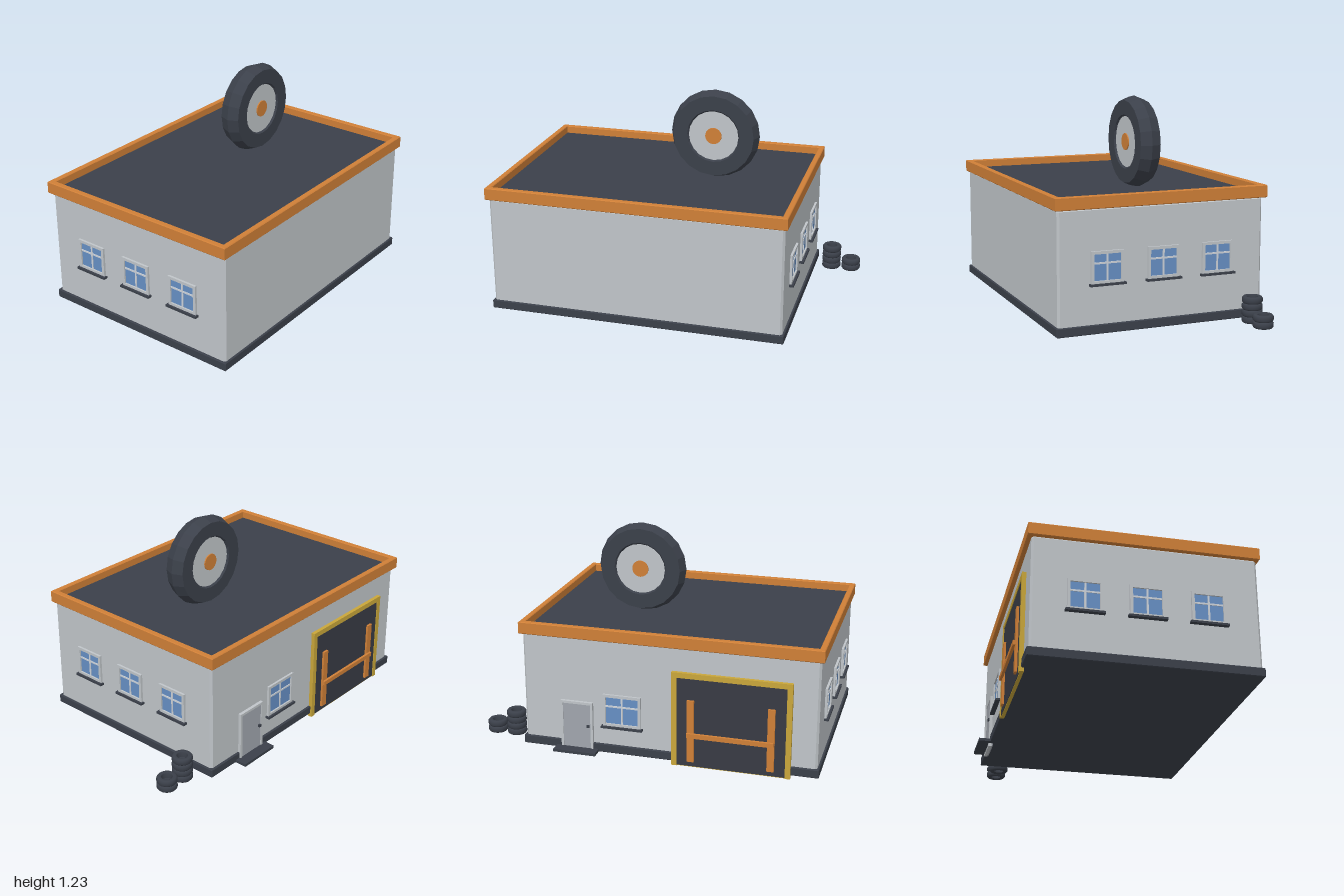
import * as THREE from 'three';
import { ConvexGeometry } from 'three/addons/geometries/ConvexGeometry.js';

const mat = (name, color, extra = {}) => {
  const m = new THREE.MeshStandardMaterial({ color, ...extra });
  m.name = name;
  return m;
};

export function createModel() {
  const M = {
    wall: mat('wallGrey', 0xc0c5c9),
    dark: mat('rubberDark', 0x3b404a),
    orange: mat('orange', 0xcf7f37),
    yellow: mat('yellow', 0xc9a63a),
    glass: mat('glassBlue', 0x668fc4),
    mullion: mat('mullionGrey', 0xcdd3da),
    door: mat('doorGrey', 0xa0a5ad),
    shutter: mat('shutterDark', 0x383b44),
  };
  const root = new THREE.Group();
  root.name = 'tyreWorkshop';

  const add = (parent, name, geo, m) => {
    const mesh = new THREE.Mesh(geo, m);
    mesh.name = name;
    parent.add(mesh);
    return mesh;
  };
  // box given by its limits on each axis
  const box = (parent, name, m, x0, x1, y0, y1, z0, z1) => {
    const mesh = add(parent, name, new THREE.BoxGeometry(x1 - x0, y1 - y0, z1 - z0), m);
    mesh.position.set((x0 + x1) / 2, (y0 + y1) / 2, (z0 + z1) / 2);
    return mesh;
  };
  // the same with chamfered edges of width c
  const chamferBox = (parent, name, m, x0, x1, y0, y1, z0, z1, c) => {
    const h = [(x1 - x0) / 2, (y1 - y0) / 2, (z1 - z0) / 2];
    const pts = [];
    for (const sx of [-1, 1]) for (const sy of [-1, 1]) for (const sz of [-1, 1]) {
      for (let full = 0; full < 3; full++) {
        const p = [sx, sy, sz].map((s, i) => s * (h[i] - (i === full ? 0 : c)));
        pts.push(new THREE.Vector3(...p));
      }
    }
    const mesh = add(parent, name, new ConvexGeometry(pts), m);
    mesh.position.set((x0 + x1) / 2, (y0 + y1) / 2, (z0 + z1) / 2);
    return mesh;
  };
  // rectangular ring in the xy plane, extruded along z
  const ring = (w, h, t, depth, bevel = 0) => {
    const rect = (S, a, b) => new S([
      new THREE.Vector2(-a, -b), new THREE.Vector2(a, -b),
      new THREE.Vector2(a, b), new THREE.Vector2(-a, b)]);
    const s = rect(THREE.Shape, w / 2 - bevel, h / 2 - bevel);
    s.holes.push(rect(THREE.Path, w / 2 - t + bevel, h / 2 - t + bevel));
    const g = new THREE.ExtrudeGeometry(s, {
      depth: depth - 2 * bevel, bevelEnabled: bevel > 0,
      bevelSize: bevel, bevelThickness: bevel, bevelSegments: 1 });
    return g.translate(0, 0, bevel);
  };

  // building shell
  const X0 = -0.973, X1 = 0.711, Z0 = -0.571, Z1 = 0.631;
  chamferBox(root, 'walls', M.wall, X0, X1, 0.03, 0.695, Z0, Z1, 0.012);
  chamferBox(root, 'plinth', M.dark, X0 - 0.011, X1 + 0.011, 0.02, 0.07, Z0 - 0.012, Z1 + 0.01, 0.004);
  box(root, 'roof', M.dark, X0, X1, 0.692, 0.715, Z0, Z1);
  const rim = add(root, 'roofRim', ring(1.717, 1.24, 0.033, 0.07, 0.004), M.orange);
  rim.rotation.x = -Math.PI / 2;
  rim.position.set(-0.132, 0.69, 0.027);

  // window facing +z, its origin at the bottom middle of the frame
  const makeWindow = (name, w, h, x, y, z, turn) => {
    const g = new THREE.Group();
    g.name = name;
    g.position.set(x, y, z);
    g.rotation.y = turn;
    const frame = add(g, 'windowFrame', ring(w, h, 0.016, 0.013), M.wall);
    frame.position.y = h / 2;
    box(g, 'windowGlass', M.glass, -w / 2 + 0.01, w / 2 - 0.01, 0.01, h - 0.01, -0.002, 0.004);
    box(g, 'mullion', M.mullion, -0.005, 0.005, 0.015, h - 0.015, 0, 0.008);
    box(g, 'crossBar', M.mullion, -w / 2 + 0.015, w / 2 - 0.015, h * 0.6, h * 0.6 + 0.01, 0, 0.008);
    box(g, 'windowSill', M.dark, -w / 2 - 0.01, w / 2 + 0.01, -0.01, 0.002, -0.002, 0.026);
    root.add(g);
  };
  for (const z of [0.355, 0.03, -0.293]) {
    makeWindow('leftWindow', 0.185, 0.175, X1, 0.29, z, Math.PI / 2);
    makeWindow('rightWindow', 0.185, 0.175, X0, 0.29, z, -Math.PI / 2);
  }
  makeWindow('backWindow', 0.22, 0.19, 0.13, 0.185, Z0, Math.PI);

  // back entrance door with step
  const entrance = new THREE.Group();
  entrance.name = 'entrance';
  root.add(entrance);
  box(entrance, 'doorLeaf', M.door, 0.31, 0.48, 0.005, 0.305, -0.587, -0.565);
  const doorFrame = add(entrance, 'doorFrame', ring(0.19, 0.315, 0.014, 0.018), M.wall);
  doorFrame.position.set(0.395, 0.1575, -0.591);
  box(entrance, 'doorHandle', M.dark, 0.32, 0.335, 0.165, 0.18, -0.598, -0.586);
  box(entrance, 'doorStep', M.dark, 0.27, 0.52, 0.02, 0.036, -0.65, -0.575);

  // vehicle door with yellow surround and orange guard
  const gate = new THREE.Group();
  gate.name = 'garageDoor';
  root.add(gate);
  box(gate, 'surroundPlate', M.yellow, -0.83, -0.16, 0, 0.555, -0.5865, -0.568);
  box(gate, 'shutter', M.shutter, -0.8, -0.19, 0.004, 0.525, -0.589, -0.58);
  for (const x of [-0.83, -0.19]) box(gate, 'surroundSide', M.yellow, x, x + 0.03, 0, 0.555, -0.593, -0.58);
  box(gate, 'surroundTop', M.yellow, -0.8, -0.19, 0.525, 0.555, -0.593, -0.58);
  for (const x of [-0.74, -0.29]) box(gate, 'guardPost', M.orange, x, x + 0.04, 0.035, 0.4, -0.602, -0.588);
  box(gate, 'guardBar', M.orange, -0.735, -0.25, 0.184, 0.21, -0.615, -0.6);

  // large wheel standing on the roof, turned about z
  const wheel = new THREE.Group();
  wheel.name = 'roofWheel';
  wheel.position.set(0.168, 0.969, -0.033);
  root.add(wheel);
  const treadPts = [[0.145, -0.048], [0.155, -0.06], [0.238, -0.06], [0.262, 0], [0.238, 0.06], [0.155, 0.06], [0.145, 0.048]]
    .map(p => new THREE.Vector2(...p));
  const tread = new THREE.LatheGeometry(treadPts, 20).toNonIndexed();
  tread.computeVertexNormals();
  add(wheel, 'roofTyre', tread, M.dark).rotation.x = Math.PI / 2;
  add(wheel, 'wheelDisc', new THREE.CylinderGeometry(0.148, 0.148, 0.1, 32), M.wall).rotation.x = Math.PI / 2;
  add(wheel, 'wheelHub', new THREE.CylinderGeometry(0.048, 0.048, 0.114, 24), M.orange).rotation.x = Math.PI / 2;

  // stacked tyres on the ground
  const H = 0.0365;
  const tyrePts = [[0.028, 0.004], [0.034, 0], [0.05, 0], [0.057, 0.009], [0.057, H - 0.009], [0.05, H], [0.034, H], [0.028, H - 0.004], [0.028, 0.004]]
    .map(p => new THREE.Vector2(...p));
  const tyreGeo = new THREE.LatheGeometry(tyrePts, 24);
  for (const [x, count] of [[0.82, 4], [0.941, 2]]) {
    for (let i = 0; i < count; i++) add(root, 'stackedTyre', tyreGeo, M.dark).position.set(x, 0.02 + i * H, -0.458);
  }
  return root;
}
